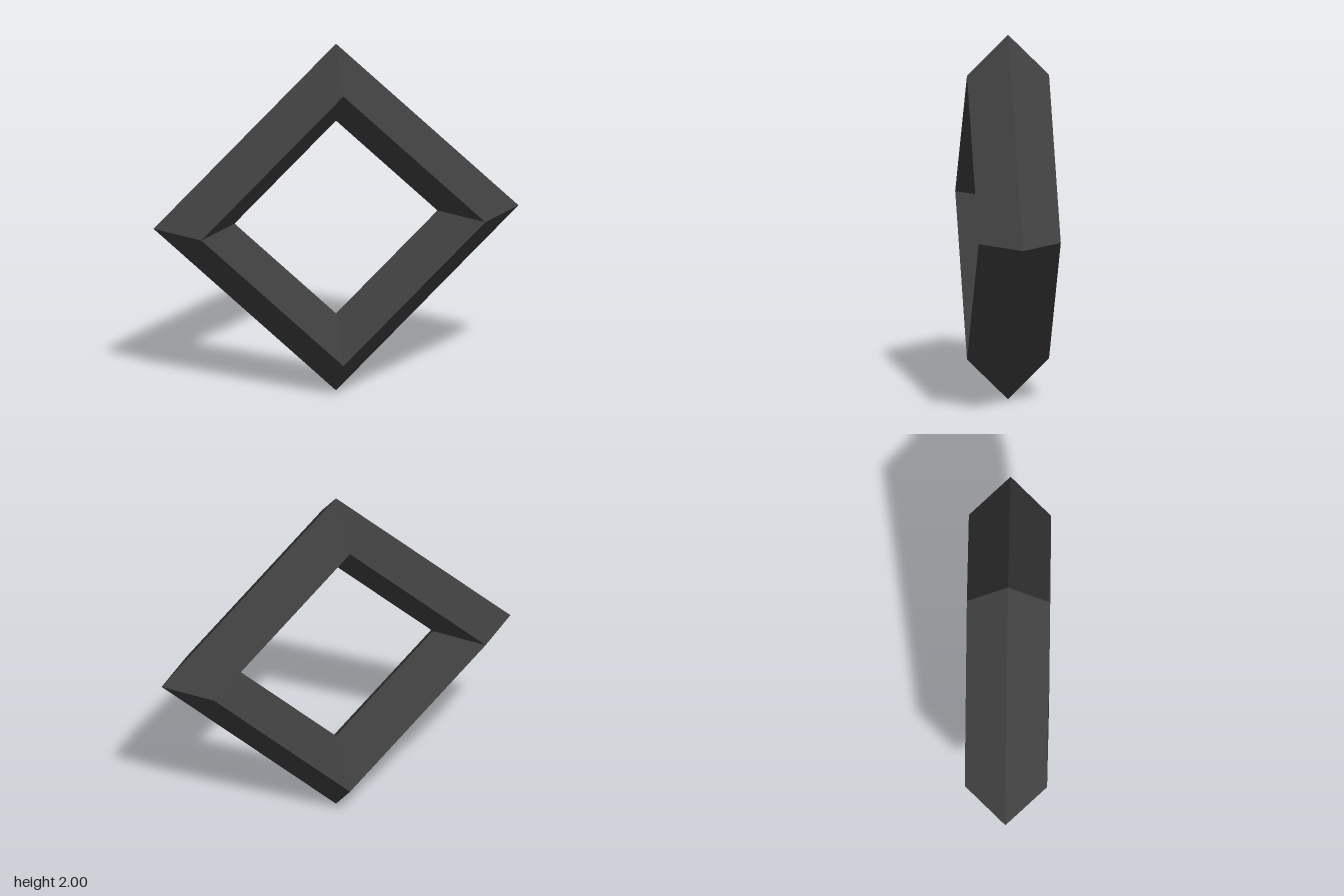
import * as THREE from 'three';

export function createModel() {
  const group = new THREE.Group();
  group.name = 'diamondRing';

  const charcoal = new THREE.MeshStandardMaterial({ color: 0x404040, flatShading: true });
  charcoal.name = 'charcoal';

  // Four-sided ring with a four-sided bevelled section, standing on one corner
  const ringRadius = 0.778, tubeRadius = 0.222;
  const frame = new THREE.Mesh(new THREE.TorusGeometry(ringRadius, tubeRadius, 4, 4), charcoal);
  frame.name = 'diamondFrame';
  frame.position.y = ringRadius + tubeRadius;
  group.add(frame);

  return group;
}
